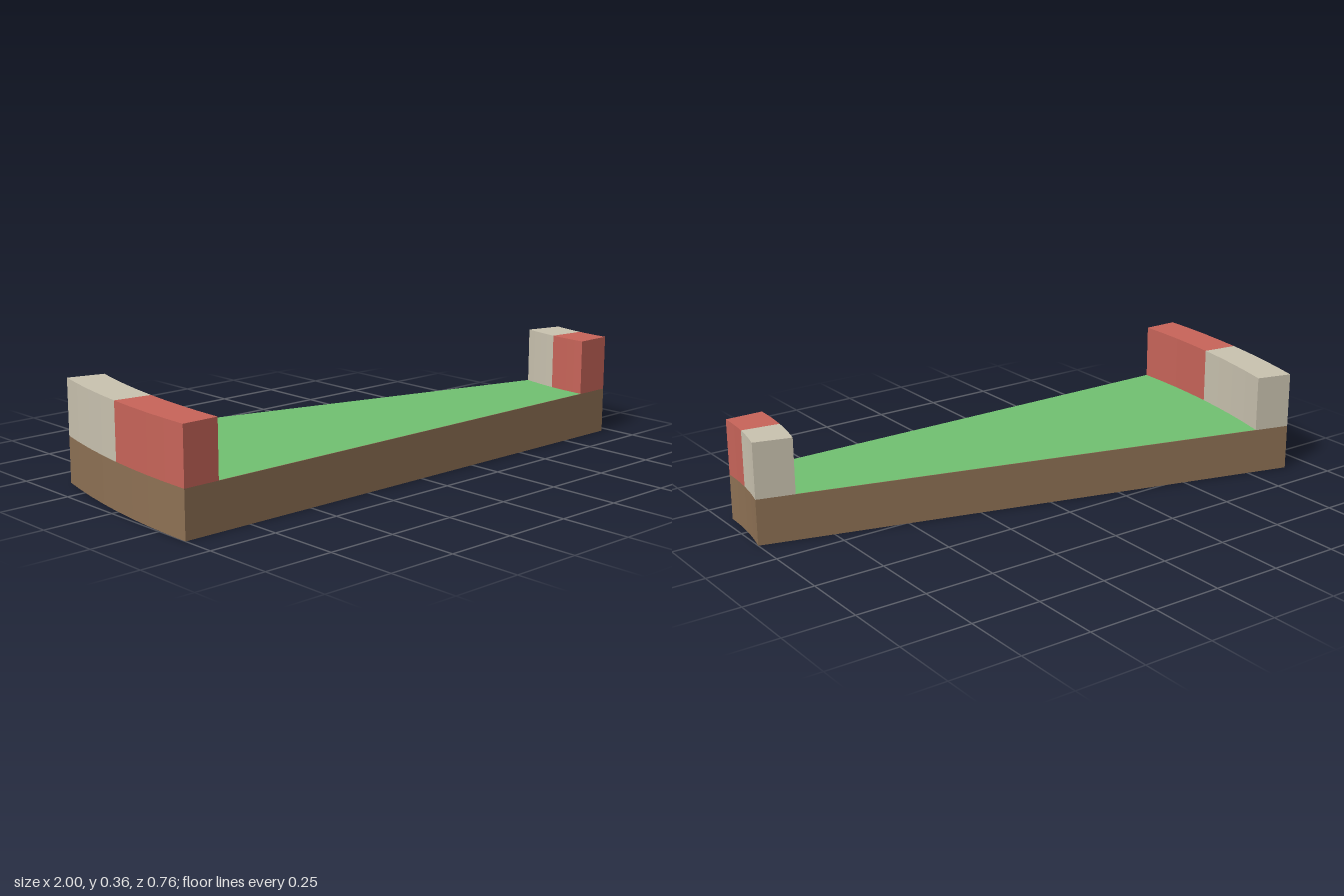
import * as THREE from 'three';

const CX = 1.944, CZ = 0.381; // centre of the curve
const SWEEP = Math.PI / 12, HALF = SWEEP / 2;
const R_IN = 0.977, R_KERB_IN = 1.111, R_KERB_OUT = 2.814, R_OUT = 2.944;
const BASE_H = 0.163, TOTAL_H = 0.361;

// Plan of a ring sector between two radii and two angles
function sector(r0, r1, a0, a1) {
  const n = Math.round((a1 - a0) / HALF) * 4;
  const pts = [];
  const add = (r, a) => pts.push(new THREE.Vector2(CX - r * Math.cos(a), r * Math.sin(a) - CZ));
  for (let i = 0; i <= n; i++) add(r1, a0 + (a1 - a0) * i / n);
  for (let i = n; i >= 0; i--) add(r0, a0 + (a1 - a0) * i / n);
  return new THREE.Shape(pts);
}

// Stand the plan's extrusion upright at height y
function block(name, shape, y, height, material) {
  const geo = new THREE.ExtrudeGeometry(shape, { depth: height, bevelEnabled: false, steps: 1 });
  geo.rotateX(-Math.PI / 2).translate(0, y, 0);
  const mesh = new THREE.Mesh(geo, material);
  mesh.name = name;
  return mesh;
}

function mat(name, color) {
  const m = new THREE.MeshStandardMaterial({ color });
  m.name = name;
  return m;
}

export function createModel() {
  const group = new THREE.Group();
  group.name = 'curvedTrackPiece';
  const earth = mat('earthBrown', 0x8f7255);
  const grass = mat('grassGreen', 0x72c272);
  const red = mat('kerbRed', 0xc9655a);
  const stone = mat('kerbStone', 0xcbc4b1);

  // Earth base
  group.add(block('base', sector(R_IN, R_OUT, 0, SWEEP), 0, BASE_H, earth));

  // Grass surface between the kerbs
  const top = new THREE.ShapeGeometry(sector(R_KERB_IN, R_KERB_OUT, 0, SWEEP));
  top.rotateX(-Math.PI / 2).translate(0, BASE_H + 0.001, 0);
  const surface = new THREE.Mesh(top, grass);
  surface.name = 'grassSurface';
  group.add(surface);

  // Kerbs, each half red and half stone
  for (const [side, r0, r1] of [['inner', R_IN, R_KERB_IN], ['outer', R_KERB_OUT, R_OUT]]) {
    const h = TOTAL_H - BASE_H;
    group.add(block(side + 'KerbRed', sector(r0, r1, 0, HALF), BASE_H, h, red));
    group.add(block(side + 'KerbStone', sector(r0, r1, HALF, SWEEP), BASE_H, h, stone));
  }
  return group;
}
